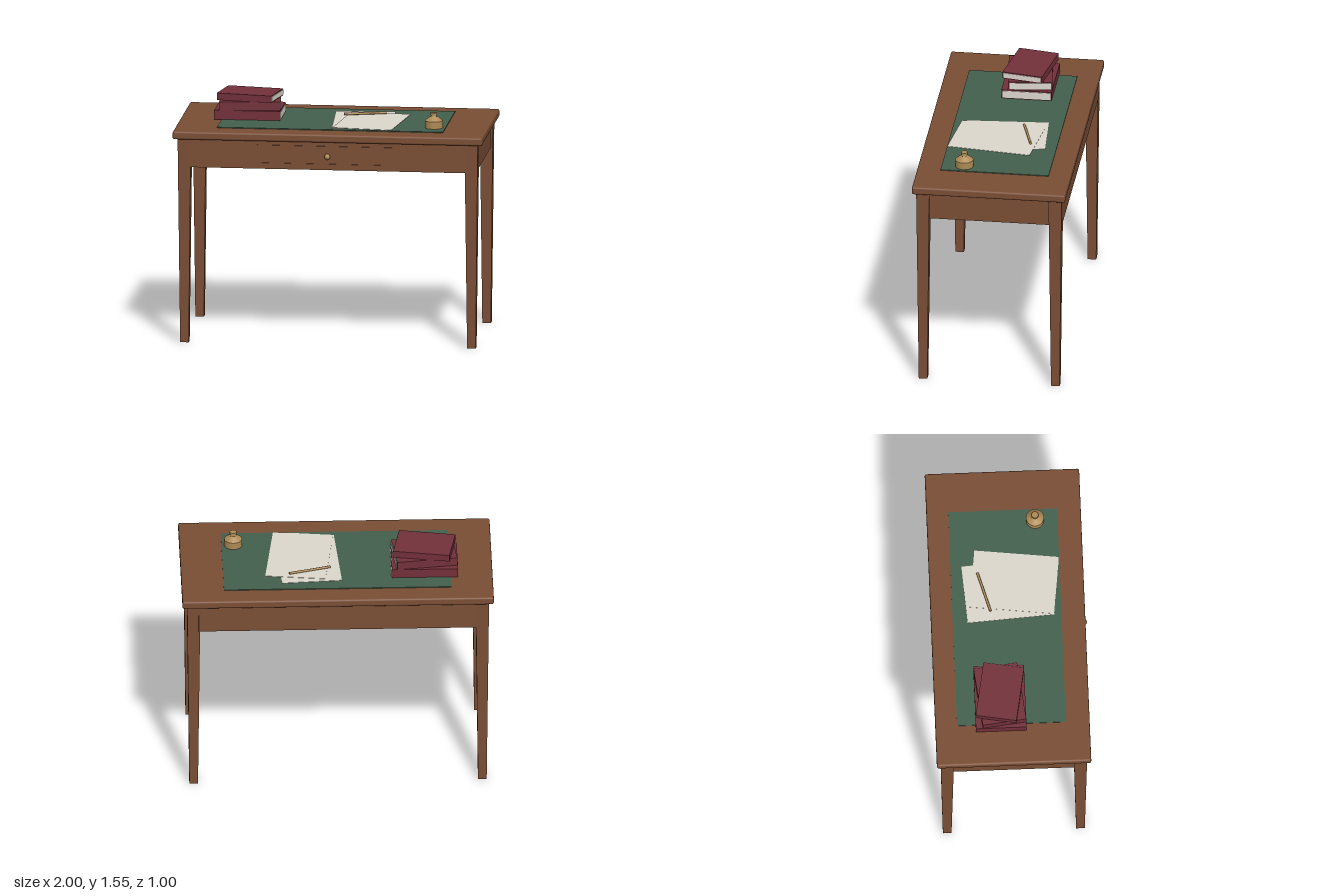
import * as THREE from 'three';
import { RoundedBoxGeometry } from 'three/addons/geometries/RoundedBoxGeometry.js';

const mat = (name, color) => {
  const m = new THREE.MeshStandardMaterial({ color });
  m.name = name;
  return m;
};

export function createModel() {
  const wood = mat('walnut', 0x7a4e35);
  const green = mat('greenLeather', 0x44604f);
  const red = mat('burgundyCloth', 0x73303a);
  const paper = mat('paper', 0xddd8cd);
  const brass = mat('brass', 0xaf8b56);

  const desk = new THREE.Group();
  desk.name = 'writingDesk';
  const add = (name, geo, material, x, y, z, parent = desk) => {
    const m = new THREE.Mesh(geo, material);
    m.name = name;
    m.position.set(x, y, z);
    parent.add(m);
    return m;
  };
  const box = (w, h, d) => new THREE.BoxGeometry(w, h, d);

  // Table top with softened edges
  const topY = 1.385, underY = 1.333, midZ = -0.004;
  add('tableTop', new RoundedBoxGeometry(2, topY - underY, 0.992, 2, 0.012), wood, 0, (topY + underY) / 2, midZ);

  // Tapered square legs
  const legGeo = box(0.085, underY, 0.085);
  const p = legGeo.attributes.position;
  for (let i = 0; i < p.count; i++) {
    if (p.getY(i) < 0) p.setXYZ(i, p.getX(i) * 0.65, p.getY(i), p.getZ(i) * 0.65);
  }
  legGeo.computeVertexNormals();
  for (const sx of [-1, 1]) {
    for (const sz of [-1, 1]) {
      add((sz > 0 ? 'front' : 'back') + (sx > 0 ? 'Left' : 'Right') + 'Leg', legGeo, wood,
        sx * 0.927, underY / 2, midZ + sz * 0.428);
    }
  }

  // Aprons between the legs
  const apronY = 1.15, apronH = underY - apronY, apronMid = (underY + apronY) / 2;
  for (const s of [-1, 1]) {
    add(s > 0 ? 'frontApron' : 'backApron', box(1.79, apronH, 0.025), wood, 0, apronMid, midZ + s * 0.4575);
    add(s > 0 ? 'leftApron' : 'rightApron', box(0.025, apronH, 0.79), wood, s * 0.943, apronMid, midZ);
  }

  // Drawer: box behind the apron, panel and raised border on its face
  const drawer = new THREE.Group();
  drawer.name = 'drawer';
  drawer.position.set(0, 1.24, 0);
  desk.add(drawer);
  add('drawerBox', box(0.87, 0.125, 0.82), wood, 0, 0, 0.035, drawer);
  add('drawerPanel', box(0.88, 0.11, 0.01), wood, 0, 0, 0.462, drawer);
  const rect = (T, w, h) => {
    const s = new T();
    s.moveTo(-w, -h).lineTo(w, -h).lineTo(w, h).lineTo(-w, h).closePath();
    return s;
  };
  const border = rect(THREE.Shape, 0.455, 0.066);
  border.holes.push(rect(THREE.Path, 0.439, 0.05));
  add('drawerBorder', new THREE.ExtrudeGeometry(border, { depth: 0.012, bevelEnabled: false }), wood, 0, 0, 0.46, drawer);
  add('drawerKnob', new THREE.SphereGeometry(0.019, 16, 12), brass, 0, 0, 0.485, drawer);

  // Writing pad
  add('blotter', box(1.46, 0.005, 0.7), green, 0, topY + 0.0025, -0.01);

  // Books: cloth cover with page block showing at the open side
  const books = [
    { y: 1.389, h: 0.061, w: 0.425, d: 0.325, turn: 0 },
    { y: 1.450, h: 0.055, w: 0.39, d: 0.283, turn: 0.115 },
    { y: 1.505, h: 0.045, w: 0.365, d: 0.264, turn: -0.175 },
  ];
  books.forEach((b, i) => {
    const book = new THREE.Group();
    book.name = 'book' + (i + 1);
    book.position.set(-0.565, b.y + b.h / 2, -0.078);
    book.rotation.y = b.turn;
    desk.add(book);
    add('cover', box(b.w, b.h, b.d), red, 0, 0, 0, book);
    add('pages', box(0.02, b.h - 0.012, b.d - 0.014), paper, b.w / 2 - 0.006, 0, 0, book);
  });

  // Two loose sheets
  add('lowerSheet', box(0.386, 0.002, 0.56), paper, 0.18, 1.3915, 0.0025).rotation.y = 0.065;
  add('upperSheet', box(0.388, 0.002, 0.545), paper, 0.235, 1.394, 0.045).rotation.y = -0.12;

  // Pen lying on the sheets
  const pen = add('pen', new THREE.CylinderGeometry(0.008, 0.008, 0.275, 10).rotateZ(Math.PI / 2), brass, 0.172, 1.404, -0.152);
  pen.rotation.y = 0.276;

  // Inkwell with stopper; doubled points keep the edges crisp
  const profile = [[0, 0], [0.058, 0], [0.058, 0], [0.058, 0.05], [0.058, 0.05], [0.024, 0.077], [0.024, 0.077],
    [0.018, 0.077], [0.018, 0.088], [0.018, 0.088], [0.022, 0.088], [0.022, 0.088], [0.022, 0.102], [0.022, 0.102], [0, 0.102]];
  add('inkwell', new THREE.LatheGeometry(profile.map(([r, y]) => new THREE.Vector2(r, y)), 20), brass, 0.655, 1.387, 0.195);

  return desk;
}
